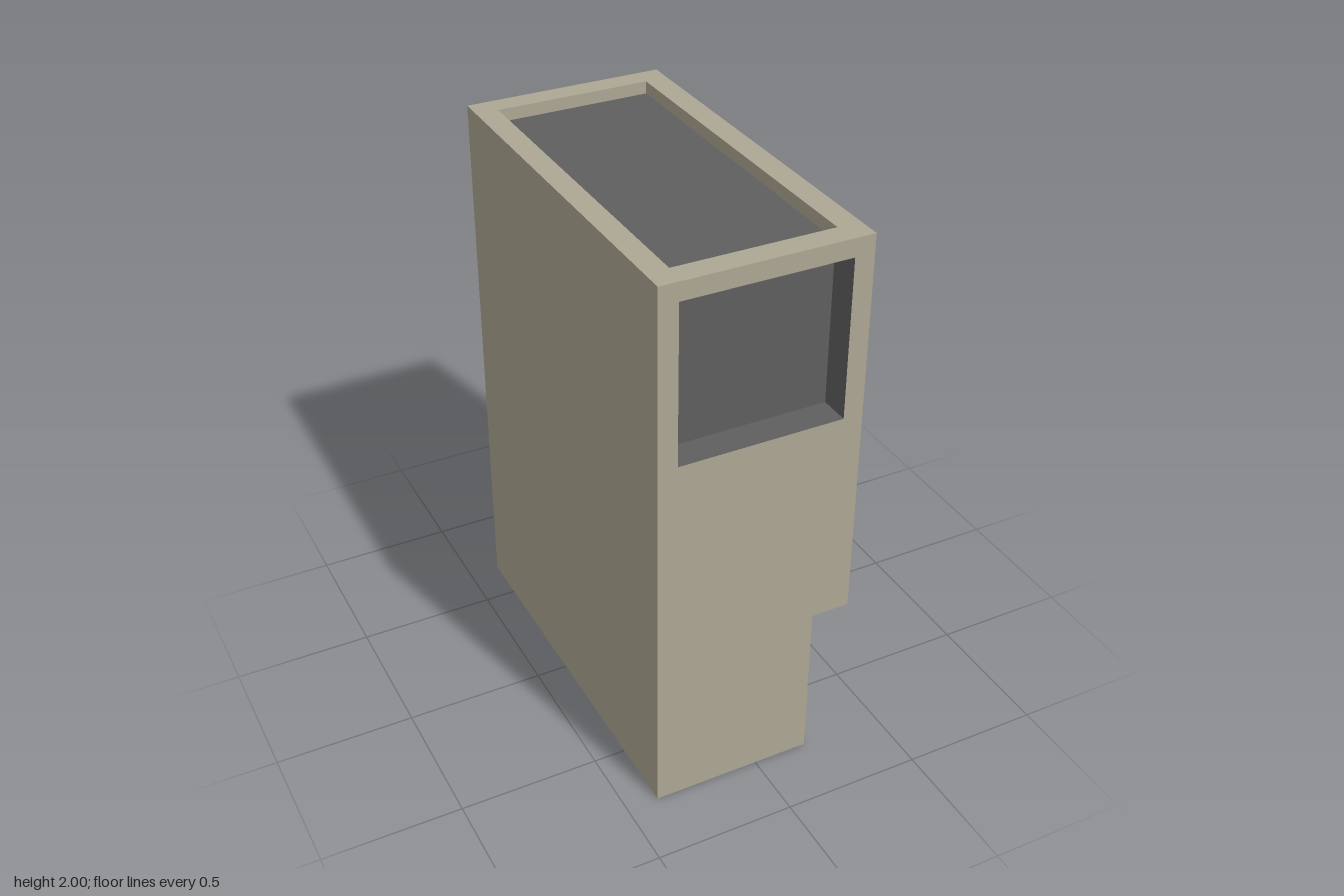
import * as THREE from 'three';

const mat = (color) => new THREE.MeshStandardMaterial({ color, side: THREE.DoubleSide, flatShading: true });
const MAT = {
  wall: mat(0xaca793), dark: mat(0x5f5f5f), yellow: mat(0xd9dd88), glass: mat(0xb0dedb),
  brown: mat(0x5a4540), red: mat(0x76302c), black: mat(0x3c3a3a), paleGlass: mat(0xa9c4c0),
};

function add(parent, name, geometry, material) {
  const mesh = new THREE.Mesh(geometry, material);
  mesh.name = name;
  parent.add(mesh);
  return mesh;
}

// Box given by its two opposite corners
function box(parent, name, [x0, y0, z0], [x1, y1, z1], material) {
  const g = new THREE.BoxGeometry(x1 - x0, y1 - y0, z1 - z0);
  g.translate((x0 + x1) / 2, (y0 + y1) / 2, (z0 + z1) / 2);
  return add(parent, name, g, material);
}

function rectangle(P, [u0, v0, u1, v1]) {
  const p = new P();
  p.moveTo(u0, v0).lineTo(u1, v0).lineTo(u1, v1).lineTo(u0, v1).closePath();
  return p;
}

// Flat wall in its own u, v plane (outside is +z), with box-shaped recesses
function wall(parent, name, rect, recesses = []) {
  const group = new THREE.Group();
  group.name = name;
  parent.add(group);
  const shape = rectangle(THREE.Shape, rect);
  for (const r of recesses) shape.holes.push(rectangle(THREE.Path, r.rect));
  add(group, name + 'Surface', new THREE.ShapeGeometry(shape), MAT.wall);
  for (const { name: part, rect: [u0, v0, u1, v1], depth, back, sides } of recesses) {
    const w = u1 - u0, h = v1 - v0, cu = (u0 + u1) / 2, cv = (v0 + v1) / 2;
    add(group, part + 'Back', new THREE.PlaneGeometry(w, h), back).position.set(cu, cv, -depth);
    for (const s of [-1, 1]) {
      const jamb = new THREE.PlaneGeometry(depth, h).rotateY(-s * Math.PI / 2);
      add(group, part + 'Jamb', jamb, sides).position.set(cu + s * w / 2, cv, -depth / 2);
      const sill = new THREE.PlaneGeometry(w, depth).rotateX(s * Math.PI / 2);
      add(group, part + 'Sill', sill, sides).position.set(cu, cv + s * h / 2, -depth / 2);
    }
  }
  return group;
}

// Four bars around an opening in a plane of constant z
function frame(parent, name, [u0, v0, u1, v1], t, z0, z1, material) {
  const shape = rectangle(THREE.Shape, [u0, v0, u1, v1]);
  shape.holes.push(rectangle(THREE.Path, [u0 + t, v0 + t, u1 - t, v1 - t]));
  const g = new THREE.ExtrudeGeometry(shape, { depth: z1 - z0, bevelEnabled: false });
  return add(parent, name, g.translate(0, 0, z0), material);
}

export function createModel() {
  const model = new THREE.Group();
  model.name = 'building';
  const L = -0.385, R = 0.34, RL = 0.2, F = 0.76, B = -0.675, MID = 0.59, TOP = 2;
  const Q = Math.PI / 2;

  // Upper storeys: front with balcony recess
  const upper = new THREE.Group();
  upper.name = 'upperStoreys';
  model.add(upper);
  wall(upper, 'upperFront', [L, MID, R, TOP], [
    { name: 'balcony', rect: [-0.317, 1.365, 0.27, 1.935], depth: 0.11, back: MAT.dark, sides: MAT.dark },
  ]).position.z = F;

  // Side with three small windows and one wide window (u runs along -z)
  const windows = [-0.53, -0.17, 0.19].map((u) => (
    { name: 'smallWindow', rect: [u, 1.535, u + 0.245, 1.765], depth: 0.063, back: MAT.yellow, sides: MAT.dark }));
  windows.push({ name: 'wideWindow', rect: [-0.69, 0.667, 0.6, 1.222], depth: 0.06, back: MAT.glass, sides: MAT.dark });
  const side = wall(upper, 'upperLeftSide', [-F, MID, -B, TOP], windows);
  side.position.x = R;
  side.rotation.y = Q;

  const plainSide = wall(upper, 'upperRightSide', [B, MID, F, TOP]);
  plainSide.position.x = L;
  plainSide.rotation.y = -Q;

  // Back with the vent window opening (u runs along -x)
  const back = wall(upper, 'upperBack', [-R, MID, -L, TOP], [
    { name: 'ventOpening', rect: [-0.075, 0.993, 0.122, 1.182], depth: 0.07, back: MAT.wall, sides: MAT.wall },
  ]);
  back.position.z = B;
  back.rotation.y = Math.PI;

  // Sunken roof and overhanging underside
  const roof = wall(upper, 'roof', [L, -F, R, -B], [
    { name: 'roofDeck', rect: [-0.305, -0.675, 0.257, 0.592], depth: 0.045, back: MAT.dark, sides: MAT.wall },
  ]);
  roof.position.y = TOP;
  roof.rotation.x = -Q;
  const underside = wall(upper, 'underside', [L, B, R, F]);
  underside.position.y = MID;
  underside.rotation.x = Q;

  // Ground storey
  const lower = new THREE.Group();
  lower.name = 'groundStorey';
  model.add(lower);
  wall(lower, 'lowerFront', [L, 0, RL, MID]).position.z = F;
  const shopSide = wall(lower, 'lowerLeftSide', [-F, 0, -B, MID]);
  shopSide.position.x = RL;
  shopSide.rotation.y = Q;
  const lowerSide = wall(lower, 'lowerRightSide', [B, 0, F, MID]);
  lowerSide.position.x = L;
  lowerSide.rotation.y = -Q;
  const lowerBack = wall(lower, 'lowerBack', [-RL, 0, -L, MID], [
    { name: 'backDoorway', rect: [-0.07, 0.005, 0.253, 0.53], depth: 0.1, back: MAT.dark, sides: MAT.dark },
  ]);
  lowerBack.position.z = B;
  lowerBack.rotation.y = Math.PI;
  const base = wall(lower, 'base', [L, B, RL, F]);
  base.rotation.x = Q;

  // Barred entrance door on the side
  const door = new THREE.Group();
  door.name = 'entranceDoor';
  door.position.x = RL;
  door.rotation.y = Q;
  model.add(door);
  frame(door, 'doorFrame', [-0.685, 0.004, -0.445, 0.585], 0.026, -0.006, 0.008, MAT.brown);
  box(door, 'doorGlass', [-0.66, 0.03, -0.004], [-0.47, 0.56, 0.002], MAT.glass);
  for (const u of [-0.613, -0.562, -0.511]) {
    box(door, 'doorBar', [u - 0.012, 0.03, 0], [u + 0.012, 0.56, 0.008], MAT.brown);
  }

  // Vending machine beside the door
  const vending = new THREE.Group();
  vending.name = 'vendingMachine';
  vending.position.x = 0.36;
  vending.rotation.y = Q;
  model.add(vending);
  box(vending, 'cabinet', [0.29, 0.003, -0.16], [0.5, 0.53, -0.008], MAT.red);
  const front = rectangle(THREE.Shape, [0.29, 0.003, 0.5, 0.53]);
  front.holes.push(rectangle(THREE.Path, [0.307, 0.21, 0.452, 0.488]));
  front.holes.push(rectangle(THREE.Path, [0.307, 0.04, 0.485, 0.13]));
  const panel = new THREE.ExtrudeGeometry(front, { depth: 0.008, bevelEnabled: false });
  add(vending, 'frontPanel', panel.translate(0, 0, -0.008), MAT.red);
  box(vending, 'displayGlass', [0.307, 0.21, -0.008], [0.452, 0.488, -0.005], MAT.paleGlass);
  box(vending, 'trayOpening', [0.307, 0.04, -0.008], [0.485, 0.13, -0.006], MAT.black);
  for (const [y0, y1] of [[0.365, 0.402], [0.28, 0.332]]) {
    box(vending, 'controlPad', [0.463, y0, -0.002], [0.488, y1, 0.003], MAT.black);
  }
  const flap = box(vending, 'trayFlap', [-0.09, -0.075, -0.003], [0.09, 0, 0.002], MAT.black);
  flap.position.set(0.396, 0.112, -0.002);
  flap.rotation.x = -0.32;

  // Tilted vent window at the back
  const vent = new THREE.Group();
  vent.name = 'ventWindow';
  model.add(vent);
  frame(vent, 'ventFrame', [-0.145, 0.97, 0.098, 1.205], 0.023, B - 0.016, B + 0.003, MAT.brown);
  const pane = box(vent, 'ventPane', [-0.096, -0.106, -0.004], [0.096, 0.106, 0.004], MAT.glass);
  pane.position.set(-0.0235, 1.087, -0.698);
  pane.rotation.x = 0.62;
  return model;
}
